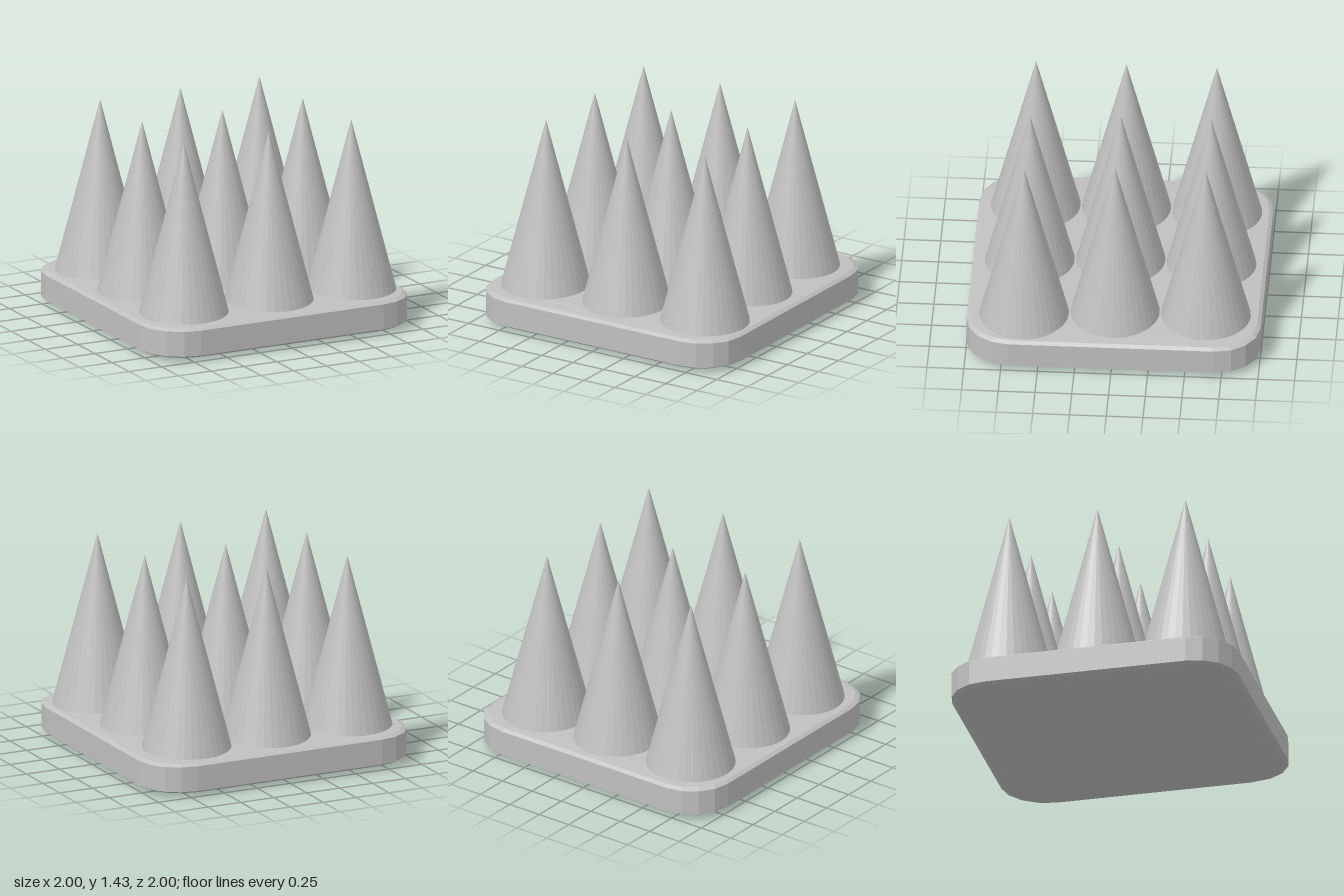
import * as THREE from 'three';

const grey = new THREE.MeshStandardMaterial({ color: 0xc0c0c0, flatShading: true });
grey.name = 'light grey';

// Rounded-square outline, scaled about the centre
function outline(scale, radius = 0.3, steps = 4) {
  const points = [];
  for (let corner = 0; corner < 4; corner++) {
    const middle = Math.PI / 4 + corner * Math.PI / 2;
    const cx = Math.sign(Math.cos(middle)) * (1 - radius);
    const cz = Math.sign(Math.sin(middle)) * (1 - radius);
    for (let i = 0; i <= steps; i++) {
      const a = (corner + i / steps) * Math.PI / 2;
      points.push([(cx + radius * Math.cos(a)) * scale, (cz + radius * Math.sin(a)) * scale]);
    }
  }
  return points;
}

// Slab lofted through rings of [height, scale]; the end rings shrink to a point
function slabGeometry(rings) {
  const positions = [], index = [];
  const n = outline(1).length;
  for (const [y, scale] of rings) {
    for (const [x, z] of outline(scale)) positions.push(x, y, z);
  }
  for (let r = 0; r < rings.length - 1; r++) {
    for (let i = 0; i < n; i++) {
      const a = r * n + i, b = r * n + (i + 1) % n;
      if (rings[r][1] > 0) index.push(a, a + n, b);
      if (rings[r + 1][1] > 0) index.push(b, a + n, b + n);
    }
  }
  const geometry = new THREE.BufferGeometry();
  geometry.setAttribute('position', new THREE.Float32BufferAttribute(positions, 3));
  geometry.setIndex(index);
  geometry.computeVertexNormals();
  return geometry;
}

export function createModel() {
  const group = new THREE.Group();
  group.name = 'spikeBoard';

  // Base with bevelled edges and a slightly domed top
  const base = new THREE.Mesh(slabGeometry([
    [0, 0], [0, 0.75], [0.01, 0.92], [0.022, 0.97], [0.04, 1],
    [0.215, 1], [0.232, 0.975], [0.242, 0.85], [0.25, 0.6], [0.25, 0],
  ]), grey);
  base.name = 'base';
  group.add(base);

  // Three rows of spikes, sunk a little into the base
  const bottom = 0.2, tip = 1.43;
  const cone = new THREE.ConeGeometry(0.316, tip - bottom, 36, 1);
  const rows = [
    { z: -0.62, xs: [-0.625, -0.01, 0.595] },
    { z: -0.005, xs: [-0.625, -0.01, 0.605] },
    { z: 0.61, xs: [-0.625, 0.025, 0.655] },
  ];
  rows.forEach(({ z, xs }, row) => xs.forEach((x, column) => {
    const spike = new THREE.Mesh(cone, grey);
    spike.name = `spikeRow${row + 1}Column${column + 1}`;
    spike.position.set(x, (bottom + tip) / 2, z);
    group.add(spike);
  }));

  return group;
}
